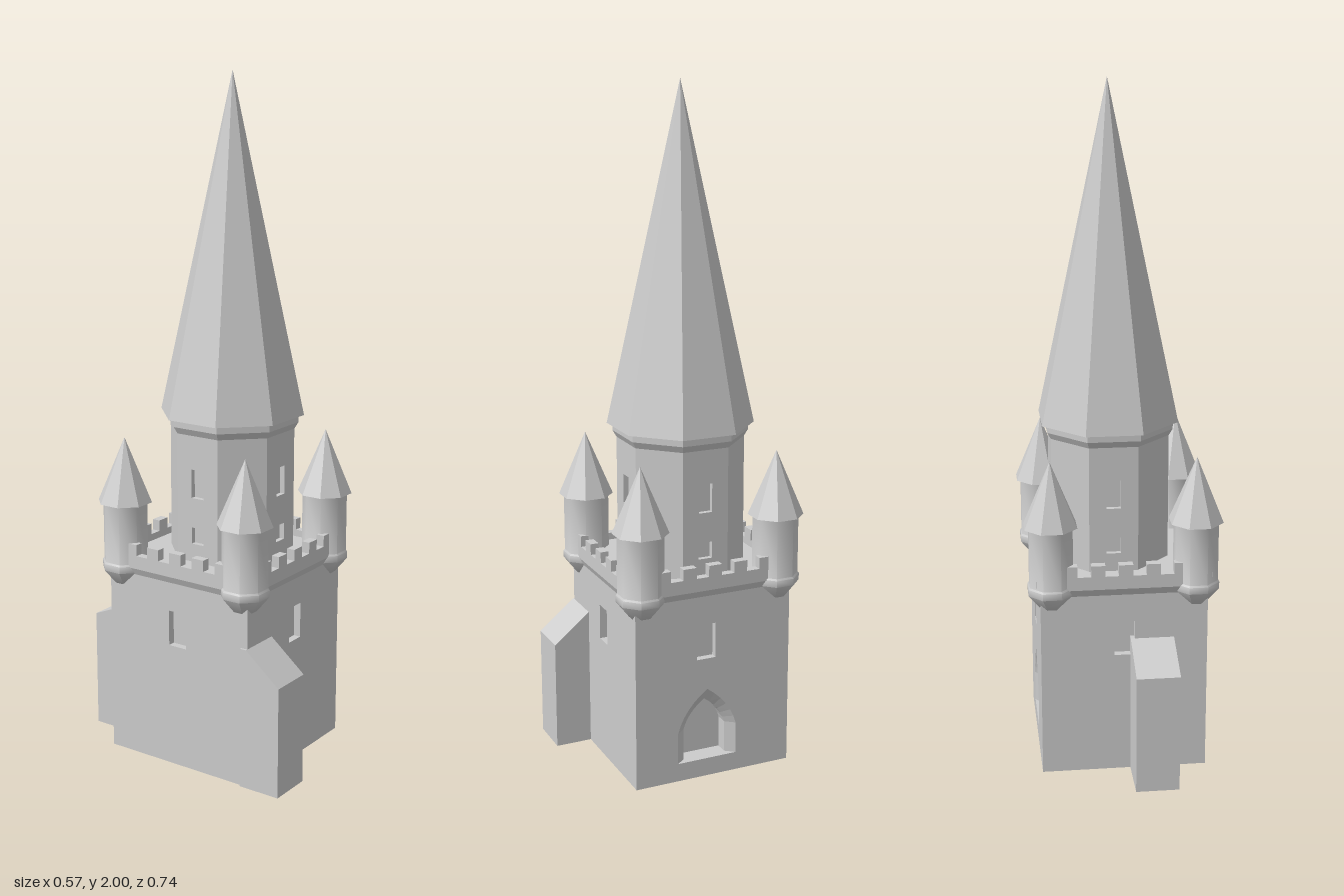
import * as THREE from 'three';
import { toCreasedNormals } from 'three/addons/utils/BufferGeometryUtils.js';

const CZ = 0.015;                 // centre of the keep along z
const HX = 0.243, HZ = 0.245;     // half sizes of the keep
const WALL_H = 0.565, SKIN = 0.022;
const OCT = Math.PI / 8, APO = Math.cos(OCT);

export function createModel() {
  const stone = new THREE.MeshStandardMaterial({ color: 0xcccccc });
  stone.name = 'stone';
  const root = new THREE.Group();
  root.name = 'castleTower';

  const add = (parent, name, geo, x = 0, y = 0, z = 0, ry = 0) => {
    const m = new THREE.Mesh(geo, stone);
    m.name = name;
    m.position.set(x, y, z);
    m.rotation.y = ry;
    parent.add(m);
    return m;
  };
  const box = (parent, name, w, h, d, x, y, z) =>
    add(parent, name, new THREE.BoxGeometry(w, h, d), x, y, z);
  const group = (name, x, y, z, ry = 0) => {
    const g = new THREE.Group();
    g.name = name;
    g.position.set(x, y, z);
    g.rotation.y = ry;
    root.add(g);
    return g;
  };
  const points = (list) => list.map(([x, y]) => new THREE.Vector2(x, y));
  const rect = (x0, y0, x1, y1) => points([[x0, y0], [x1, y0], [x1, y1], [x0, y1]]);
  // Upright slab whose outer face lies at local z = 0
  const slab = (outline, holes, depth) => {
    const s = new THREE.Shape(outline);
    holes.forEach((h) => s.holes.push(new THREE.Path(h)));
    return new THREE.ExtrudeGeometry(s, { depth, bevelEnabled: false }).translate(0, 0, -depth);
  };
  // Eight-sided lathe with flat faces towards the axes; radii are apothems
  const octagon = (profile, crease) => {
    const g = new THREE.LatheGeometry(points(profile.map(([r, y]) => [r / APO, y])), 8);
    return toCreasedNormals(g.rotateY(OCT), crease);
  };

  // Pointed arch outline, counter-clockwise from the lower left
  const arch = (cx, w, y0, spring, top) => {
    const right = new THREE.QuadraticBezierCurve(
      new THREE.Vector2(w, spring), new THREE.Vector2(w * 0.8, spring + (top - spring) * 0.58),
      new THREE.Vector2(0, top)).getPoints(6);
    const left = right.slice(0, -1).reverse().map((p) => new THREE.Vector2(-p.x, p.y));
    return [new THREE.Vector2(-w, y0), new THREE.Vector2(w, y0), ...right, ...left]
      .map((p) => new THREE.Vector2(p.x + cx, p.y));
  };
  const doorOuter = arch(-0.02, 0.093, 0.055, 0.15, 0.275);
  const doorInner = arch(-0.02, 0.066, 0.055, 0.15, 0.236);

  // Keep core, leaving room for the door recess on the left side
  const coreX0 = -HX + SKIN, coreX1 = HX - 0.06;
  box(root, 'keepCore', coreX1 - coreX0, WALL_H, 2 * (HZ - SKIN), (coreX0 + coreX1) / 2, WALL_H / 2, CZ);

  // Outer walls with window openings
  const walls = [
    { name: 'frontWall', x: 0, z: CZ + HZ, ry: 0, w: HX, win: 0.002 },
    { name: 'leftWall', x: HX, z: CZ, ry: Math.PI / 2, w: HZ, win: -0.024, door: true },
    { name: 'backWall', x: 0, z: CZ - HZ, ry: Math.PI, w: HX, win: 0 },
    { name: 'rightWall', x: -HX, z: CZ, ry: -Math.PI / 2, w: HZ, win: 0 },
  ];
  for (const { name, x, z, ry, w, win, door } of walls) {
    const g = group(name, x, 0, z, ry);
    const holes = [rect(win - 0.03, 0.37, win + 0.03, 0.476)];
    if (door) holes.push(doorOuter);
    add(g, 'wallFace', slab(rect(-w, 0, w, WALL_H), holes, SKIN));
    if (!door) continue;
    // Inner wall layer and splayed door surround
    const inner = w - SKIN;
    add(g, 'doorWall', slab(rect(-inner, 0, inner, WALL_H), [doorInner], 0.038), 0, 0, -SKIN);
    const pos = [], n = doorOuter.length;
    for (let i = 0; i < n; i++) {
      const j = (i + 1) % n;
      const a = [doorOuter[i].x, doorOuter[i].y, 0], b = [doorOuter[j].x, doorOuter[j].y, 0];
      const c = [doorInner[i].x, doorInner[i].y, -SKIN], d = [doorInner[j].x, doorInner[j].y, -SKIN];
      pos.push(...a, ...b, ...d, ...a, ...d, ...c);
    }
    const surround = new THREE.BufferGeometry();
    surround.setAttribute('position', new THREE.Float32BufferAttribute(pos, 3));
    surround.computeVertexNormals();
    add(g, 'doorSurround', surround);
  }

  // Buttresses with sloping tops
  const buttress = (name, x0, x1, reach, hWall, hEnd, front) => {
    const outline = points([[-0.02, 0], [reach, 0], [reach, hEnd], [0, hWall], [-0.02, hWall]]);
    const geo = new THREE.ExtrudeGeometry(new THREE.Shape(outline), { depth: x1 - x0, bevelEnabled: false });
    add(root, name, geo, front ? x1 : x0, 0, CZ + (front ? HZ : -HZ), front ? -Math.PI / 2 : Math.PI / 2);
  };
  buttress('frontButtress', -0.25, -0.12, 0.11, 0.42, 0.33, true);
  buttress('backButtress', -0.145, -0.018, 0.143, 0.42, 0.36, false);

  // Flared cornice, roof floor and battlements
  const PX = 0.2535, PZ = 0.2575, T = 0.025;
  const cornice = new THREE.CylinderGeometry(Math.SQRT2, Math.SQRT2 * 0.955, 0.025, 4, 1)
    .rotateY(Math.PI / 4).scale(PX, 1, PZ).toNonIndexed();
  cornice.computeVertexNormals();
  add(root, 'cornice', cornice, 0, 0.5725, CZ);
  box(root, 'roofFloor', 2 * (PX - T), 0.02, 2 * (PZ - T), 0, 0.592, CZ);
  for (const s of [-1, 1]) {
    box(root, 'parapet', 2 * PX, 0.04, T, 0, 0.603, CZ + s * (PZ - T / 2));
    box(root, 'parapet', T, 0.04, 2 * (PZ - T), s * (PX - T / 2), 0.603, CZ);
    for (let i = -2; i <= 2; i++) {
      box(root, 'merlon', 0.041, 0.034, T, i * 0.08 - 0.003, 0.639, CZ + s * (PZ - T / 2));
      box(root, 'merlon', T, 0.034, 0.041, s * (PX - T / 2), 0.639, CZ + i * 0.08);
    }
  }

  // Corner turrets
  const turretBody = octagon([[0, 0.515], [0.032, 0.52], [0.066, 0.565], [0.066, 0.585], [0.062, 0.59], [0.062, 0.775]], 0.85);
  const turretRoof = octagon([[0, 0.768], [0.075, 0.768], [0, 0.96]], 0.1);
  for (const sx of [-1, 1]) for (const sz of [-1, 1]) {
    const g = group('cornerTurret', sx * 0.21, 0, CZ + sz * 0.213);
    add(g, 'turretBody', turretBody);
    add(g, 'turretRoof', turretRoof);
  }

  // Eight-sided drum with windows in the four main faces
  const A = 0.172, half = A * Math.tan(OCT), drumTop = 0.99;
  const drum = group('drum', 0.023, 0, 0.02);
  add(drum, 'drumCore', octagon([[0, 0.59], [A - 0.015, 0.59], [A - 0.015, drumTop], [0, drumTop]], 0.1));
  const plain = slab(rect(-half, 0.59, half, drumTop), [], 0.015);
  const pierced = slab(rect(-half, 0.59, half, drumTop),
    [rect(-0.021, 0.657, 0.021, 0.706), rect(-0.021, 0.795, 0.021, 0.88)], 0.015);
  for (let i = 0; i < 8; i++) {
    const a = i * Math.PI / 4;
    add(drum, 'drumWall', i % 2 ? plain : pierced, Math.sin(a) * A, 0, Math.cos(a) * A, a);
  }

  // Cornice under the spire and the spire itself
  add(drum, 'spireCornice', octagon([[0, 0.98], [A, 0.98], [0.183, 1.0], [0.183, 1.026], [0, 1.026]], 0.1));
  add(drum, 'spire', octagon([[0, 1.022], [0.198, 1.022], [0, 2]], 0.1));

  return root;
}
